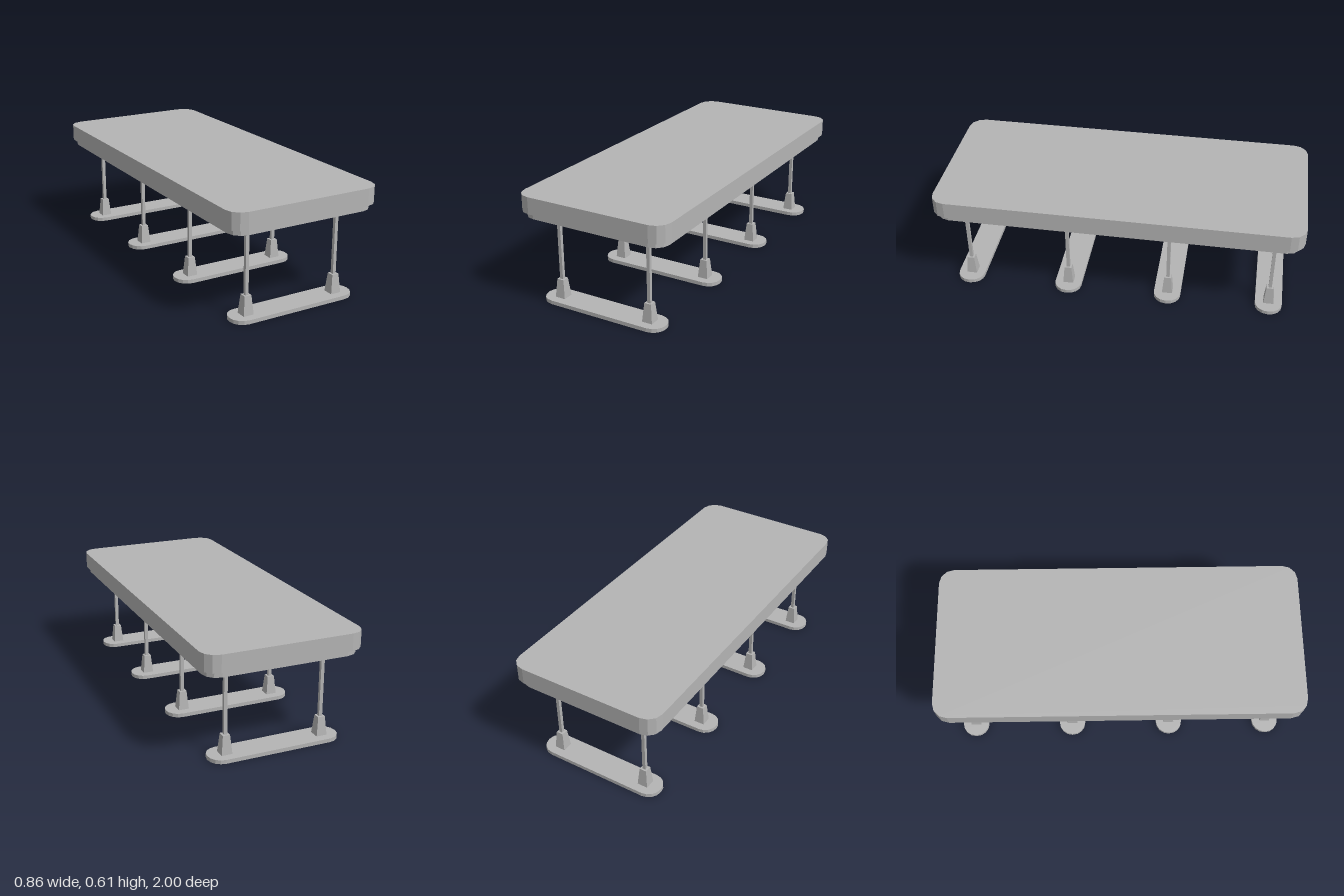
import * as THREE from 'three';

const grey = new THREE.MeshStandardMaterial({ color: 0xb4b4b4 });
grey.name = 'grey';

// Flat slab with rounded corners, standing on y = 0
function roundedSlab(halfX, halfZ, radius, height, steps) {
  const corners = [[1, 1], [-1, 1], [-1, -1], [1, -1]];
  const points = [];
  corners.forEach(([sx, sz], c) => {
    for (let i = 0; i <= steps; i++) {
      const a = (c + i / steps) * Math.PI / 2;
      points.push(new THREE.Vector2(
        sx * (halfX - radius) + radius * Math.cos(a),
        sz * (halfZ - radius) + radius * Math.sin(a)));
    }
  });
  return new THREE.ExtrudeGeometry(new THREE.Shape(points), { depth: height, bevelEnabled: false })
    .rotateX(-Math.PI / 2);
}

// Square socket, wider at the bottom, with flat faces
function taperedSocket(topWidth, bottomWidth, height) {
  const g = new THREE.CylinderGeometry(topWidth / Math.SQRT2, bottomWidth / Math.SQRT2, height, 4)
    .rotateY(Math.PI / 4).toNonIndexed();
  g.computeVertexNormals();
  return g;
}

function addPart(parent, name, geometry, x, y, z) {
  const mesh = new THREE.Mesh(geometry, grey);
  mesh.name = name;
  mesh.position.set(x, y, z);
  parent.add(mesh);
}

export function createModel() {
  const model = new THREE.Group();
  model.name = 'table';

  // Thick top with a slightly smaller panel below it
  addPart(model, 'tableTop', roundedSlab(0.431, 1, 0.081, 0.092, 3), 0, 0.519, 0);
  addPart(model, 'underPanel', roundedSlab(0.412, 0.981, 0.075, 0.031, 3), 0, 0.488, 0);

  // Four stands, each a foot bar with two posts in sockets
  const foot = roundedSlab(0.362, 0.075, 0.072, 0.021, 4);
  const socket = taperedSocket(0.039, 0.058, 0.103);
  const post = new THREE.BoxGeometry(0.0185, 0.37, 0.0185);
  for (let i = 0; i < 4; i++) {
    const stand = new THREE.Group();
    stand.name = 'stand' + (i + 1);
    stand.position.set(-0.003, 0, 0.858 - i * 0.57);
    addPart(stand, 'footBar', foot, 0, 0, 0);
    for (const [side, sx] of [['left', 1], ['right', -1]]) {
      addPart(stand, side + 'Socket', socket, sx * 0.267, 0.0725, 0);
      addPart(stand, side + 'Post', post, sx * 0.267, 0.305, 0);
    }
    model.add(stand);
  }
  return model;
}
